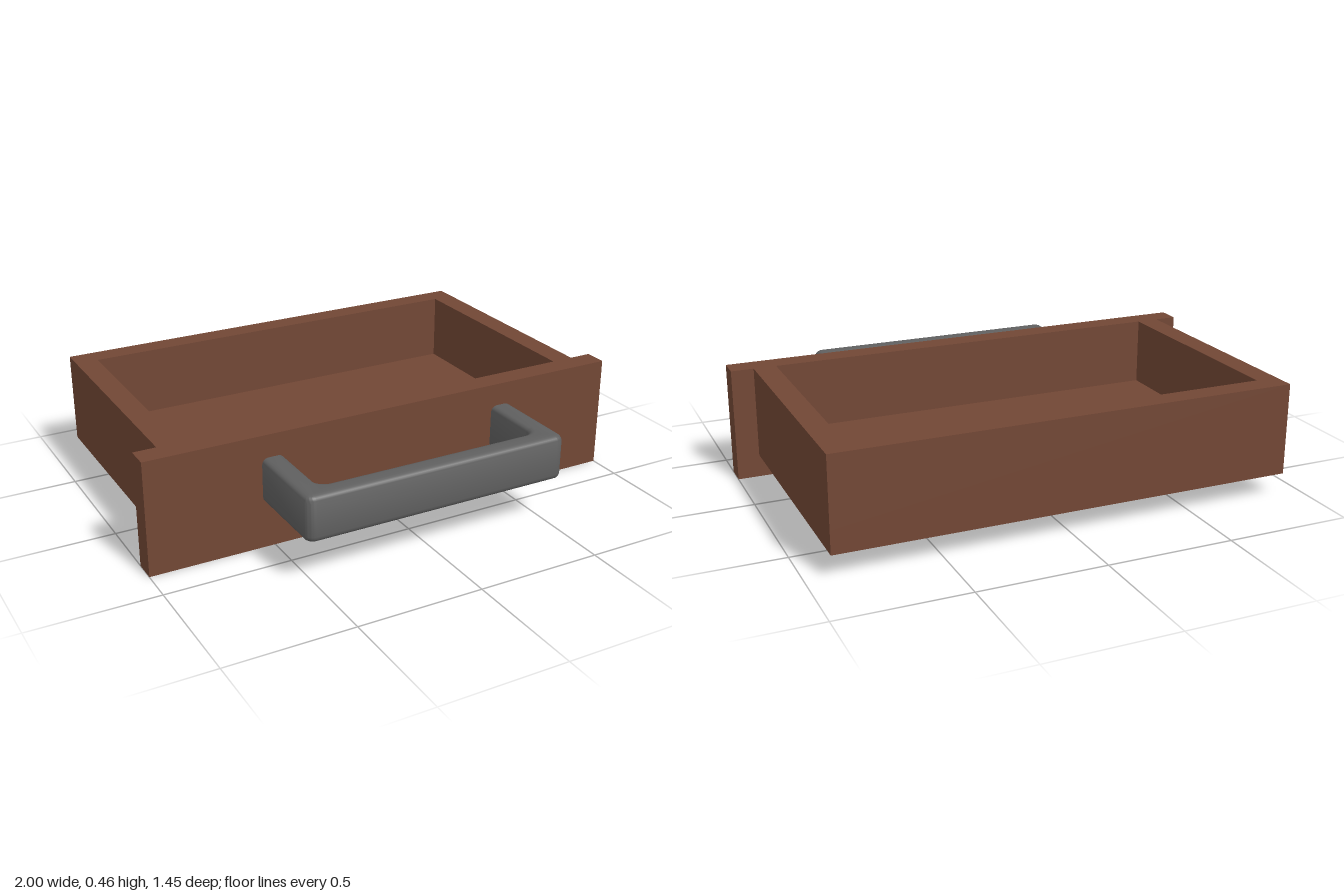
import * as THREE from 'three';
import { toCreasedNormals } from 'three/addons/utils/BufferGeometryUtils.js';

export function createModel() {
  const model = new THREE.Group();
  model.name = 'drawer';
  const wood = new THREE.MeshStandardMaterial({ color: 0x724735 });
  wood.name = 'brown wood';
  const metal = new THREE.MeshStandardMaterial({ color: 0x606060 });
  metal.name = 'grey metal';

  // Box given by its minimum and maximum corners
  function board(name, [x0, y0, z0], [x1, y1, z1]) {
    const mesh = new THREE.Mesh(new THREE.BoxGeometry(x1 - x0, y1 - y0, z1 - z0), wood);
    mesh.position.set((x0 + x1) / 2, (y0 + y1) / 2, (z0 + z1) / 2);
    mesh.name = name;
    model.add(mesh);
  }

  // Open tray behind a wider, lower front panel
  board('frontPanel', [-1, 0, 0.273], [1, 0.456, 0.364]);
  board('floor', [-0.91, 0.091, -0.727], [0.91, 0.182, 0.273]);
  board('backWall', [-0.91, 0.182, -0.727], [0.91, 0.456, -0.638]);
  board('leftWall', [0.82, 0.182, -0.638], [0.91, 0.456, 0.273]);
  board('rightWall', [-0.91, 0.182, -0.638], [-0.82, 0.456, 0.273]);

  // U-shaped handle: a plan outline extruded upwards with rounded edges
  const bevel = 0.025;
  const outX = 0.545 - bevel, outZ = 0.727 - bevel;
  const inX = 0.455 + bevel, inZ = 0.637 + bevel;
  const backZ = 0.33, outR = 0.012, inR = 0.065;
  const plan = new THREE.Shape();
  plan.moveTo(outX, backZ);
  plan.lineTo(outX, outZ - outR);
  plan.absarc(outX - outR, outZ - outR, outR, 0, Math.PI / 2, false);
  plan.lineTo(-outX + outR, outZ);
  plan.absarc(-outX + outR, outZ - outR, outR, Math.PI / 2, Math.PI, false);
  plan.lineTo(-outX, backZ);
  plan.lineTo(-inX, backZ);
  plan.lineTo(-inX, inZ - inR);
  plan.absarc(-inX + inR, inZ - inR, inR, Math.PI, Math.PI / 2, true);
  plan.lineTo(inX - inR, inZ);
  plan.absarc(inX - inR, inZ - inR, inR, Math.PI / 2, 0, true);
  plan.lineTo(inX, backZ);
  plan.closePath();
  const bar = new THREE.ExtrudeGeometry(plan, {
    depth: 0.18 - 2 * bevel, bevelSize: bevel, bevelThickness: bevel,
    bevelSegments: 4, curveSegments: 6,
  });
  bar.rotateX(Math.PI / 2);
  bar.translate(0, 0.365 - bevel, 0);
  const handle = new THREE.Mesh(toCreasedNormals(bar, 0.7), metal);
  handle.name = 'handle';
  model.add(handle);

  return model;
}
